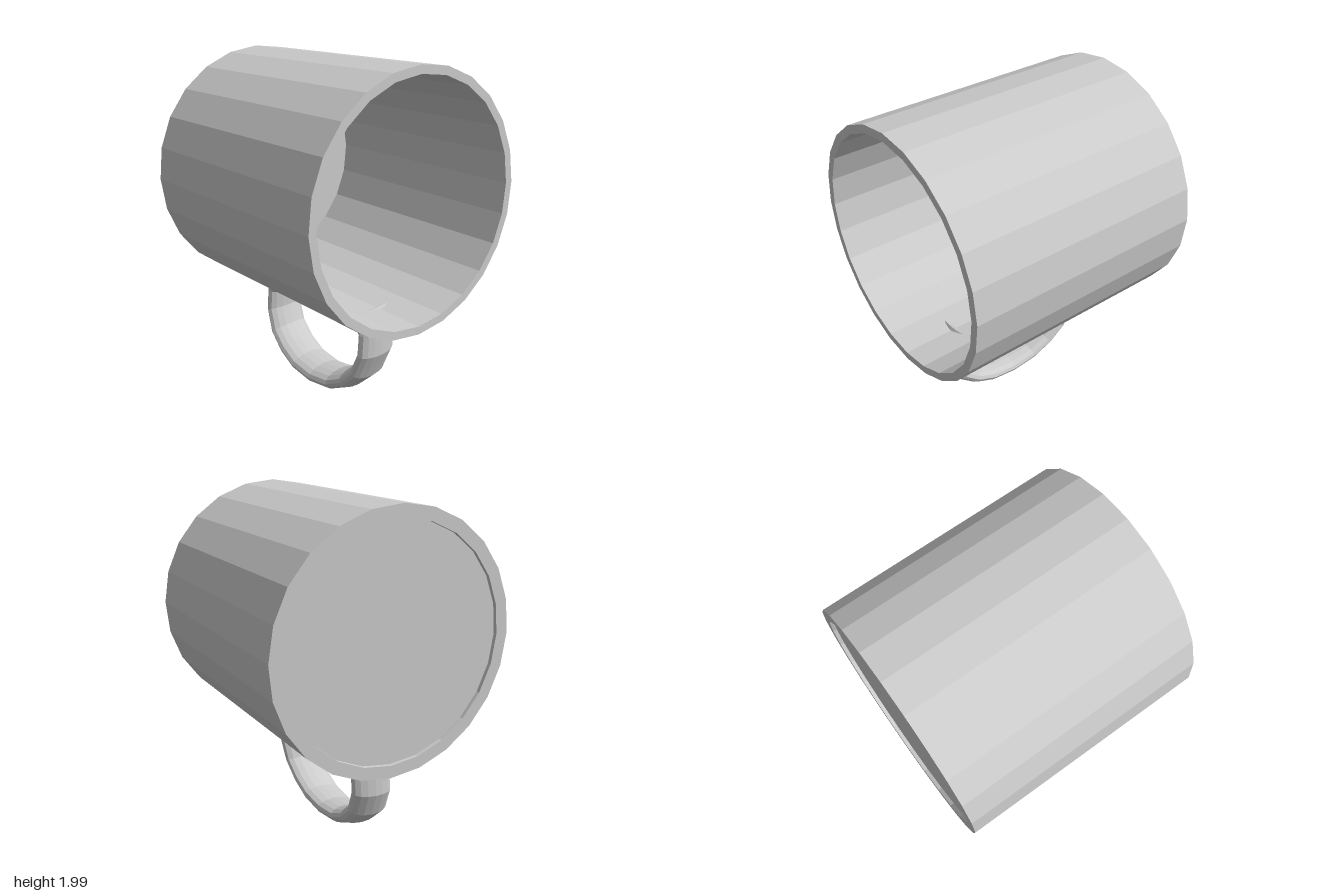
import * as THREE from 'three';

const RADIUS = 0.722, AXIS_Y = 1.278, SIDES = 24;
const LEAN = 0.07; // sideways lean of the handle

const material = new THREE.MeshStandardMaterial({ color: 0xcccccc, flatShading: true });

// Hollow cup lying on its side, mouth towards +z, with a shallow foot recess
function createCup() {
  const profile = [
    [0, -0.70], [0.65, -0.70], [0.65, -RADIUS], [RADIUS, -RADIUS],
    [RADIUS, RADIUS], [0.675, RADIUS], [0.675, -0.68], [0, -0.68],
  ].map(([r, y]) => new THREE.Vector2(r, y));
  const geometry = new THREE.LatheGeometry(profile, SIDES);
  geometry.rotateX(Math.PI / 2);
  geometry.rotateZ(0.028);
  const cup = new THREE.Mesh(geometry, material);
  cup.name = 'cup';
  cup.position.y = AXIS_Y;
  return cup;
}

// C-shaped handle: a flat elliptical section swept along a mirrored path
function createHandle() {
  const midZ = -0.025, halfWidth = 0.125, halfThick = 0.055, around = 16;
  const half = [[0.385, 0.595], [0.445, 0.49], [0.445, 0.365], [0.39, 0.235], [0.29, 0.145], [0.165, 0.085]];
  const path = [
    ...half.map(([z, y]) => new THREE.Vector3(0, y, midZ + z)),
    new THREE.Vector3(0, 0.063, midZ),
    ...half.slice().reverse().map(([z, y]) => new THREE.Vector3(0, y, midZ - z)),
  ];
  const positions = [], index = [];
  const addPoint = (x, y, z) => positions.push(x + LEAN * (y - 0.6) - 0.005, y + LEAN * x, z);

  path.forEach((p, i) => {
    const before = path[Math.max(i - 1, 0)], after = path[Math.min(i + 1, path.length - 1)];
    const t = after.clone().sub(before).normalize();
    for (let j = 0; j < around; j++) {
      const a = (j / around) * Math.PI * 2;
      const s = halfThick * Math.sin(a);
      addPoint(halfWidth * Math.cos(a), p.y + t.z * s, p.z - t.y * s);
    }
  });
  for (let i = 0; i < path.length - 1; i++) {
    for (let j = 0; j < around; j++) {
      const k = (j + 1) % around;
      const a = i * around + j, b = i * around + k;
      index.push(a, b, a + around, b, b + around, a + around);
    }
  }
  // End caps
  const last = (path.length - 1) * around;
  for (let j = 1; j < around - 1; j++) {
    index.push(0, j + 1, j, last, last + j, last + j + 1);
  }

  const geometry = new THREE.BufferGeometry();
  geometry.setAttribute('position', new THREE.Float32BufferAttribute(positions, 3));
  geometry.setIndex(index);
  geometry.computeVertexNormals();
  const handle = new THREE.Mesh(geometry, material);
  handle.name = 'handle';
  return handle;
}

export function createModel() {
  const mug = new THREE.Group();
  mug.name = 'mug';
  mug.add(createCup(), createHandle());
  return mug;
}
